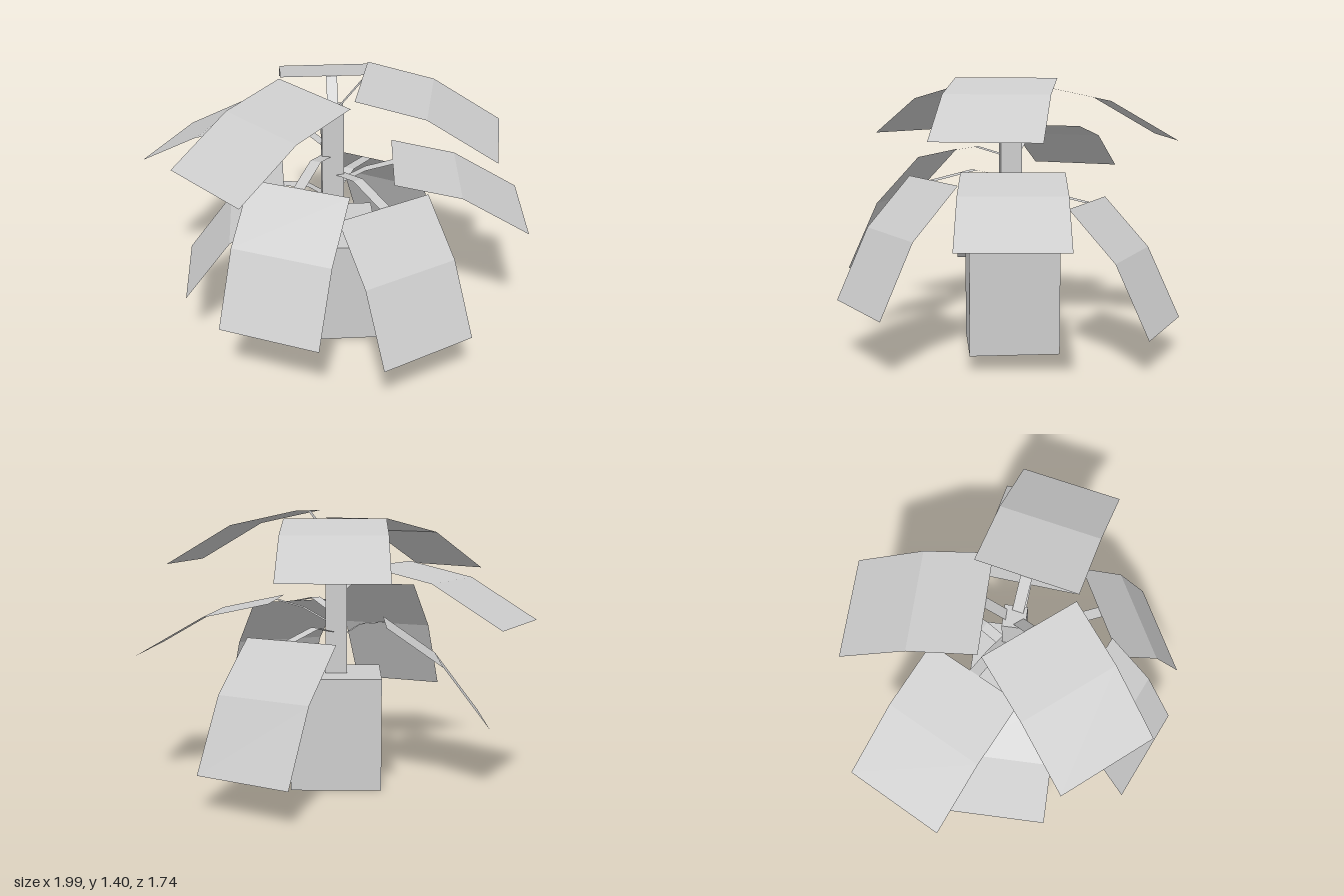
import * as THREE from 'three';

export function createModel() {
  const root = new THREE.Group();
  root.name = 'pottedPlant';
  const grey = new THREE.MeshStandardMaterial({ color: 0xcccccc, side: THREE.DoubleSide });
  grey.name = 'light grey';

  function box(name, w, h, d, x, y, z) {
    const mesh = new THREE.Mesh(new THREE.BoxGeometry(w, h, d), grey);
    mesh.name = name;
    mesh.position.set(x, y + h / 2, z);
    root.add(mesh);
  }

  // Folded flat strip running along +x through [x, y] points
  function strip(name, points, width) {
    const w = width / 2, pos = [];
    for (let i = 0; i + 1 < points.length; i++) {
      const [x0, y0] = points[i], [x1, y1] = points[i + 1];
      pos.push(x0, y0, -w, x0, y0, w, x1, y1, w);
      pos.push(x0, y0, -w, x1, y1, w, x1, y1, -w);
    }
    const geo = new THREE.BufferGeometry();
    geo.setAttribute('position', new THREE.Float32BufferAttribute(pos, 3));
    geo.computeVertexNormals();
    const mesh = new THREE.Mesh(geo, grey);
    mesh.name = name;
    return mesh;
  }

  box('pot', 0.455, 0.57, 0.46, -0.007, 0, -0.028);
  box('trunk', 0.11, 0.68, 0.11, -0.005, 0.57, -0.025);

  // Leaf: inner edge centre x, y, z; outward direction x, z; downward pitch;
  // stem length, stem start height, stem bend as [fraction, height]
  const leaves = [
    // top tier
    [0.0, 1.36, -0.16, 0, -1, 12, 0.12, 1.22, null],
    [-0.1, 1.36, 0.055, -0.77, 0.635, 12, 0.12, 1.22, null],
    [0.135, 1.4, 0.01, 0.977, 0.215, 12, 0.14, 1.22, null],
    // middle tier
    [-0.27, 1.14, -0.18, -0.89, -0.46, 12, 0.31, 1.0, [0.55, 1.1]],
    [-0.187, 1.0, 0.345, -0.41, 0.91, 46, 0.41, 0.99, [0.47, 1.04]],
    [0.303, 0.945, -0.01, 0.996, 0.088, 12, 0.31, 0.81, [0.55, 0.905]],
    // lower tier
    [0.218, 0.9, 0.38, 0.455, 0.89, 46, 0.45, 0.89, [0.47, 0.94]],
    [0.21, 0.78, -0.395, 0.5, -0.866, 46, 0.43, 0.77, [0.47, 0.82]],
    [-0.255, 0.83, -0.028, -1, 0, 35, 0.25, 0.74, [0.5, 0.82]],
  ];

  for (const [x, y, z, dx, dz, pitch, reach, start, bend] of leaves) {
    const frond = new THREE.Group();
    frond.name = 'frond';
    frond.position.set(x, y, z);
    frond.rotation.y = -Math.atan2(dz, dx);

    // Blade bends a further 18 degrees at its fold
    const a = THREE.MathUtils.degToRad(pitch), b = a + THREE.MathUtils.degToRad(18);
    const fold = [0.345 * Math.cos(a), -0.345 * Math.sin(a)];
    const tip = [fold[0] + 0.395 * Math.cos(b), fold[1] - 0.395 * Math.sin(b)];
    frond.add(strip('leaf', [[0, 0], fold, tip], 0.512));

    const path = [[-reach, start - y]];
    if (bend) path.push([reach * (bend[0] - 1), bend[1] - y]);
    path.push([0, 0]);
    frond.add(strip('stem', path, 0.055));
    root.add(frond);
  }
  return root;
}
